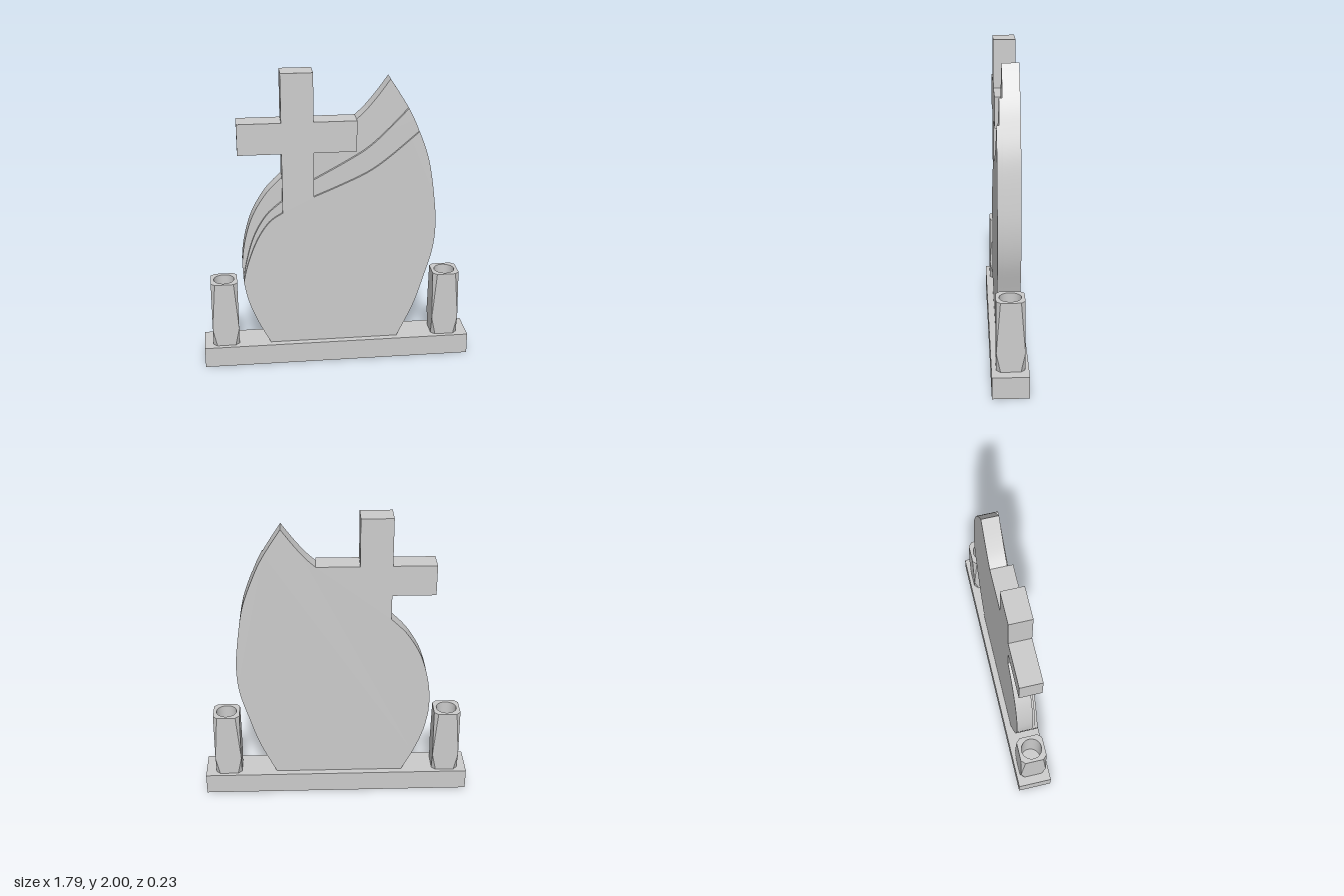
import * as THREE from 'three';
import { mergeGeometries, toCreasedNormals } from 'three/addons/utils/BufferGeometryUtils.js';

const BASE_TOP = 0.142;
const material = new THREE.MeshStandardMaterial({ color: 0xcccccc });

function mesh(name, geometry, mat = material) {
  const m = new THREE.Mesh(geometry, mat);
  m.name = name;
  return m;
}

const points = (list) => list.map(([x, y]) => new THREE.Vector2(x, y));
// smooth curve through a few points
const smooth = (list, n = 24) => new THREE.SplineCurve(points(list)).getPoints(n);

// Outline pieces shared by all stone layers
const lowerLeft = smooth([[-0.45, BASE_TOP], [-0.53, 0.3], [-0.59, 0.46], [-0.618, 0.6]], 10);
const shoulderLeft = smooth([[-0.618, 0.6], [-0.622, 0.72], [-0.607, 0.85], [-0.575, 0.98],
  [-0.53, 1.09], [-0.45, 1.215], [-0.352, 1.315]]);
const crossTop = points([[-0.352, 1.482], [-0.63, 1.482], [-0.63, 1.685], [-0.352, 1.685], [-0.352, 2],
  [-0.148, 2], [-0.148, 1.685], [0.127, 1.685]]);
const underArm = points([[0.127, 1.482], [-0.148, 1.482]]);
const flameTip = smooth([[0.127, 1.685], [0.19, 1.745], [0.265, 1.835], [0.34, 1.938]], 10);
const rightEdge = smooth([[0.34, 1.938], [0.458, 1.75], [0.527, 1.6], [0.596, 1.4], [0.638, 1.14],
  [0.652, 0.95], [0.637, 0.78], [0.59, 0.605], [0.517, 0.374], [0.41, BASE_TOP]], 60);
const rightEdgeBelow = (y) => rightEdge.filter((p) => p.y < y - 0.005);

// One slab of stone between two depths
function layer(name, outline, z0, z1) {
  const clean = outline.filter((p, i) => i === 0 || p.distanceTo(outline[i - 1]) > 1e-4);
  const geo = new THREE.ExtrudeGeometry(new THREE.Shape(clean), { depth: z1 - z0, bevelEnabled: false });
  geo.translate(0, 0, z0);
  return mesh(name, toCreasedNormals(geo, 0.5));
}

// Raised front layer: swept curve on each side of the cross
function raisedLayer(name, left, right, z0, z1) {
  const end = right[right.length - 1];
  return layer(name, [...lowerLeft, ...smooth(left), ...crossTop, ...underArm,
    ...smooth(right), ...rightEdgeBelow(end[1])], z0, z1);
}

// Square vase with corners cut away above and below a sharp shoulder
function createVase(name, x) {
  const vase = new THREE.Group();
  vase.name = name;
  const h = 0.0885, a = 0.062, low = 0, mid = 0.125, top = 0.453, r = 0.068, depth = 0.3;
  const botL = [-a, low, h], botR = [a, low, h], midR = [h, mid, h];
  const topR = [a, top, h], topL = [-a, top, h], midL = [-h, mid, h];
  const side = new THREE.BufferGeometry();
  side.setAttribute('position', new THREE.Float32BufferAttribute([
    botL, botR, midR, botL, midR, midL, midL, midR, topR, midL, topR, topL,
    midR, [h, top, a], topR, midR, botR, [h, low, a],
  ].flat(), 3));
  const sides = [0, 1, 2, 3].map((k) => side.clone().rotateY(k * Math.PI / 2));
  const body = mergeGeometries(sides);
  body.computeVertexNormals();
  vase.add(mesh('vaseBody', body));

  // rim with round opening
  const rim = new THREE.Shape(points([[a, -h], [h, -a], [h, a], [a, h], [-a, h], [-h, a], [-h, -a], [-a, -h]]));
  rim.holes.push(new THREE.Path().absarc(0, 0, r, 0, Math.PI * 2, true));
  vase.add(mesh('vaseRim', new THREE.ShapeGeometry(rim, 16).rotateX(-Math.PI / 2).translate(0, top, 0)));

  // hollow inside
  const inside = material.clone();
  inside.side = THREE.DoubleSide;
  vase.add(mesh('vaseInside',
    new THREE.CylinderGeometry(r, r, depth, 32, 1, true).translate(0, top - depth / 2, 0), inside));
  vase.add(mesh('vaseFloor',
    new THREE.CircleGeometry(r, 32).rotateX(-Math.PI / 2).translate(0, top - depth, 0)));

  vase.position.set(x, BASE_TOP, -0.002);
  return vase;
}

export function createModel() {
  const model = new THREE.Group();
  model.name = 'memorialStone';

  // plinth
  model.add(mesh('plinth', new THREE.BoxGeometry(1.794, BASE_TOP, 0.23).translate(0, BASE_TOP / 2, 0)));

  // stone in three stepped layers, the cross running through all of them
  const stone = new THREE.Group();
  stone.name = 'stone';
  stone.add(layer('backLayer',
    [...lowerLeft, ...shoulderLeft, ...crossTop, ...flameTip, ...rightEdge], -0.072, 0.036));
  stone.add(raisedLayer('middleLayer',
    [[-0.618, 0.6], [-0.6, 0.72], [-0.545, 0.91], [-0.46, 1.06], [-0.352, 1.158]],
    [[-0.148, 1.296], [0.06, 1.41], [0.2, 1.497], [0.325, 1.61], [0.458, 1.75]], 0.036, 0.056));
  stone.add(raisedLayer('frontLayer',
    [[-0.618, 0.6], [-0.585, 0.735], [-0.52, 0.9], [-0.44, 1.02], [-0.352, 1.082]],
    [[-0.148, 1.185], [0.035, 1.262], [0.2, 1.34], [0.335, 1.435], [0.527, 1.6]], 0.056, 0.072));
  model.add(stone);

  // vases
  model.add(createVase('rightVase', -0.75), createVase('leftVase', 0.739));
  return model;
}
